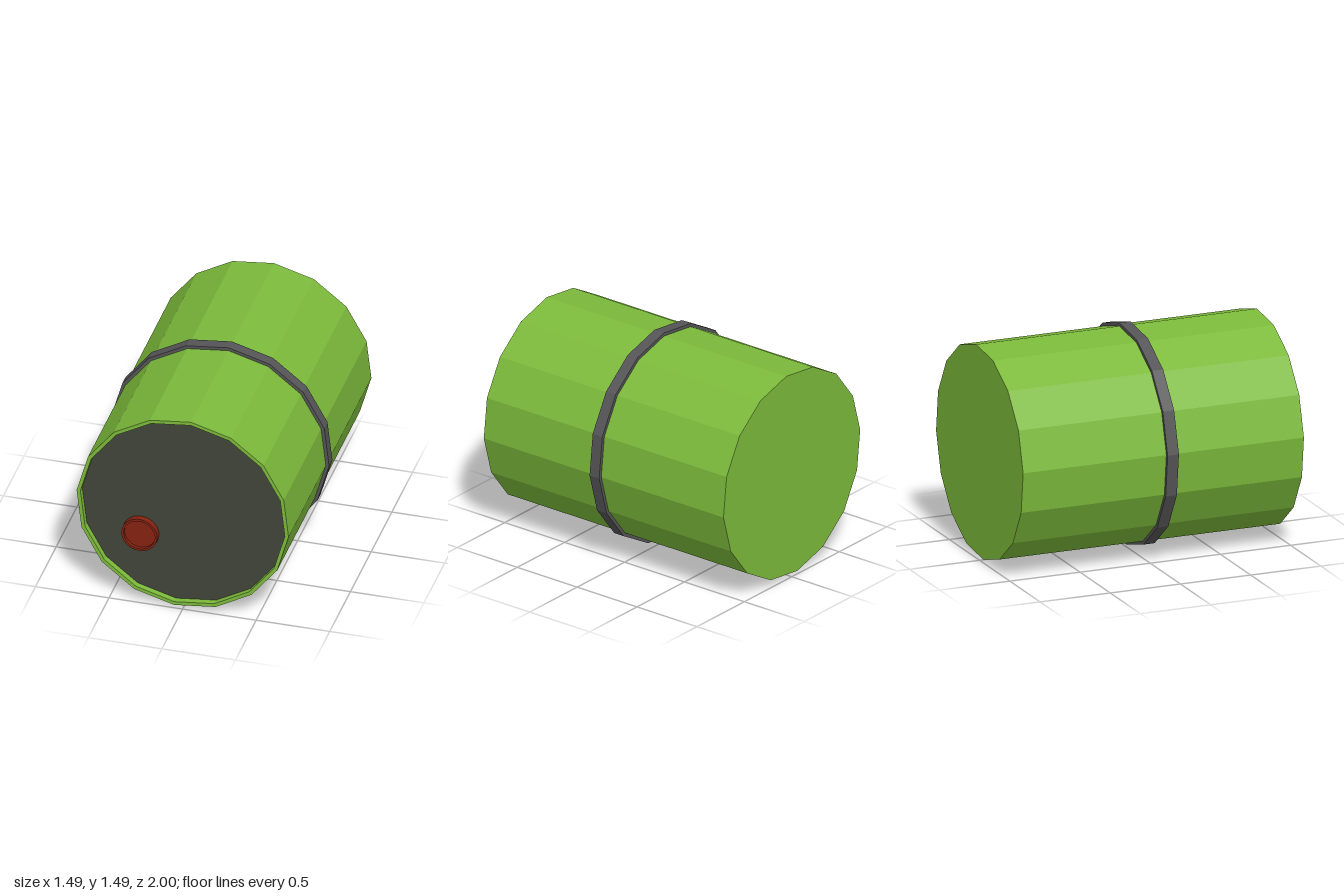
import * as THREE from 'three';

const SIDES = 16;
const TWIST = -0.08; // slight roll of the barrel about its axis
const CENTRE_Y = 0.743;
const FLOOR_Z = 0.955; // depth of the recessed front panel

const green = new THREE.MeshStandardMaterial({ color: 0x7cba3b });
green.name = 'green';
const grey = new THREE.MeshStandardMaterial({ color: 0x555456 });
grey.name = 'grey';
const darkOlive = new THREE.MeshStandardMaterial({ color: 0x42453a });
darkOlive.name = 'darkOlive';
const red = new THREE.MeshStandardMaterial({ color: 0x842211 });
red.name = 'red';

// Faceted solid turned about the z axis from [radius, z] pairs
function turned(name, profile, sides, material) {
  const points = profile.map(([r, z]) => new THREE.Vector2(r, z));
  const lathe = new THREE.LatheGeometry(points, sides, TWIST, Math.PI * 2);
  const geometry = lathe.rotateX(Math.PI / 2).toNonIndexed();
  geometry.computeVertexNormals();
  const mesh = new THREE.Mesh(geometry, material);
  mesh.name = name;
  return mesh;
}

export function createModel() {
  const model = new THREE.Group();
  model.name = 'barrel';

  // Closed back, flat front rim and short inner wall
  const shell = turned('shell',
    [[0, -1], [0.7225, -1], [0.7225, 1], [0.697, 1], [0.697, FLOOR_Z]], SIDES, green);

  // Band around the middle
  const band = turned('band',
    [[0.715, 0.02], [0.745, 0.02], [0.745, 0.1], [0.715, 0.1]], SIDES, grey);

  // Recessed front panel
  const panel = new THREE.Mesh(
    new THREE.CircleGeometry(0.697, SIDES, TWIST, Math.PI * 2), darkOlive);
  panel.name = 'frontPanel';
  panel.position.z = FLOOR_Z;

  // Cap with a raised lip
  const cap = turned('cap',
    [[0.122, FLOOR_Z], [0.122, 0.998], [0.106, 0.998], [0.106, 0.975], [0, 0.975]], 32, red);
  cap.position.set(-0.295, 0.523 - CENTRE_Y, 0);

  model.add(shell, band, panel, cap);
  for (const part of model.children) part.position.y += CENTRE_Y;
  return model;
}
